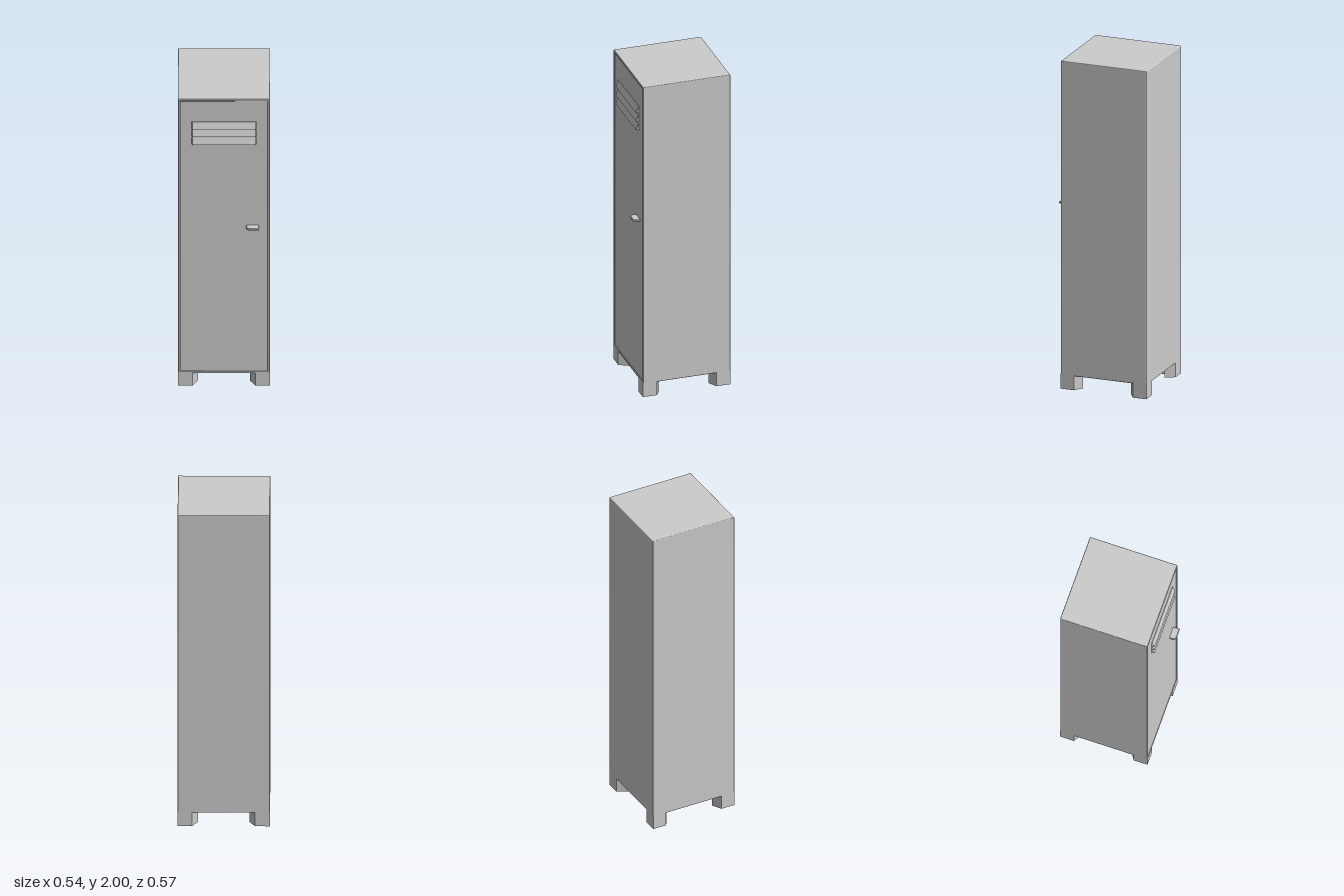
import * as THREE from 'three';
import { RoundedBoxGeometry } from 'three/addons/geometries/RoundedBoxGeometry.js';

const W = 0.268, BACK = -0.287, FRONT = 0.25, BOTTOM = 0.085, TOP = 2;

export function createModel() {
  const group = new THREE.Group();
  const mat = new THREE.MeshStandardMaterial({ color: 0xcccccc });
  const flat = new THREE.MeshStandardMaterial({ color: 0xcccccc, flatShading: true });

  const add = (name, geometry, material, x = 0, y = 0, z = 0) => {
    const mesh = new THREE.Mesh(geometry, material);
    mesh.name = name;
    mesh.position.set(x, y, z);
    group.add(mesh);
    return mesh;
  };
  const shapeOf = (pts) => new THREE.Shape(pts.map(([x, y]) => new THREE.Vector2(x, y)));
  const rect = (w, y0, y1) => [[-w, y0], [w, y0], [w, y1], [-w, y1]];

  // Cabinet body, slightly rounded along its edges
  const bodyFront = 0.241, depth = bodyFront - BACK;
  add('body', new RoundedBoxGeometry(W * 2, TOP - BOTTOM, depth, 2, 0.005), mat,
    0, (TOP + BOTTOM) / 2, (bodyFront + BACK) / 2);

  // Thin rim around the door opening
  const b = 0.003, rim = 0.013;
  const frameShape = shapeOf(rect(W - b, BOTTOM + b, TOP - b));
  frameShape.holes.push(shapeOf(rect(W - rim, BOTTOM + rim, TOP - rim)));
  add('doorFrame', new THREE.ExtrudeGeometry(frameShape, {
    depth: 0.014, bevelThickness: b, bevelSize: b, bevelSegments: 1,
  }), flat, 0, 0, FRONT - 0.014 - b);

  // Door panel with a narrow gap to the rim
  const gap = rim + 0.004, doorFront = 0.247;
  add('door', new THREE.BoxGeometry((W - gap) * 2, TOP - BOTTOM - gap * 2, 0.012), flat,
    0, (TOP + BOTTOM) / 2, doorFront - 0.006);

  // Vent louvres: wedges leaning outwards to the bottom, with tapered ends
  const louvre = new THREE.BoxGeometry(0.38, 0.042, 0.02);
  const p = louvre.attributes.position;
  for (let i = 0; i < p.count; i++) {
    if (p.getZ(i) < 0) continue;
    p.setX(i, Math.sign(p.getX(i)) * 0.184);
    if (p.getY(i) > 0) p.setZ(i, -0.005);
  }
  louvre.computeVertexNormals();
  for (let i = 0; i < 3; i++) {
    add('louvre' + (i + 1), louvre, flat, 0, 1.822 - i * 0.055, 0.255);
  }

  // Handle: flat pull with one rounded corner and bevelled edges
  const pull = new THREE.Shape();
  pull.moveTo(0.134, -0.24);
  pull.lineTo(0.2, -0.24);
  pull.lineTo(0.2, -0.283);
  pull.lineTo(0.152, -0.283);
  pull.quadraticCurveTo(0.134, -0.282, 0.132, -0.266);
  pull.closePath();
  const handle = new THREE.ExtrudeGeometry(pull, {
    depth: 0.007, bevelThickness: 0.004, bevelSize: 0.004, bevelSegments: 1, curveSegments: 6,
  });
  handle.rotateX(-Math.PI / 2);
  add('handle', handle, flat, 0, 1.109, 0);

  // Legs: corner angles with slanted ends and a notch on the inside
  const profile = [[0, 0], [0.085, 0], [0.118, 0.055], [0.055, 0.055], [0.055, 0.118], [0, 0.085]];
  for (const sx of [-1, 1]) {
    for (const sz of [-1, 1]) {
      const cz = sz > 0 ? FRONT : BACK;
      const leg = new THREE.ExtrudeGeometry(
        shapeOf(profile.map(([u, v]) => [sx * (W - u), -(cz - sz * v)])),
        { depth: BOTTOM + 0.006, bevelEnabled: false });
      leg.rotateX(-Math.PI / 2);
      add((sz > 0 ? 'front' : 'back') + (sx > 0 ? 'Left' : 'Right') + 'Leg', leg, flat);
    }
  }

  // Centre front to back, counting the handle
  for (const child of group.children) child.position.z += 0;
  return group;
}
